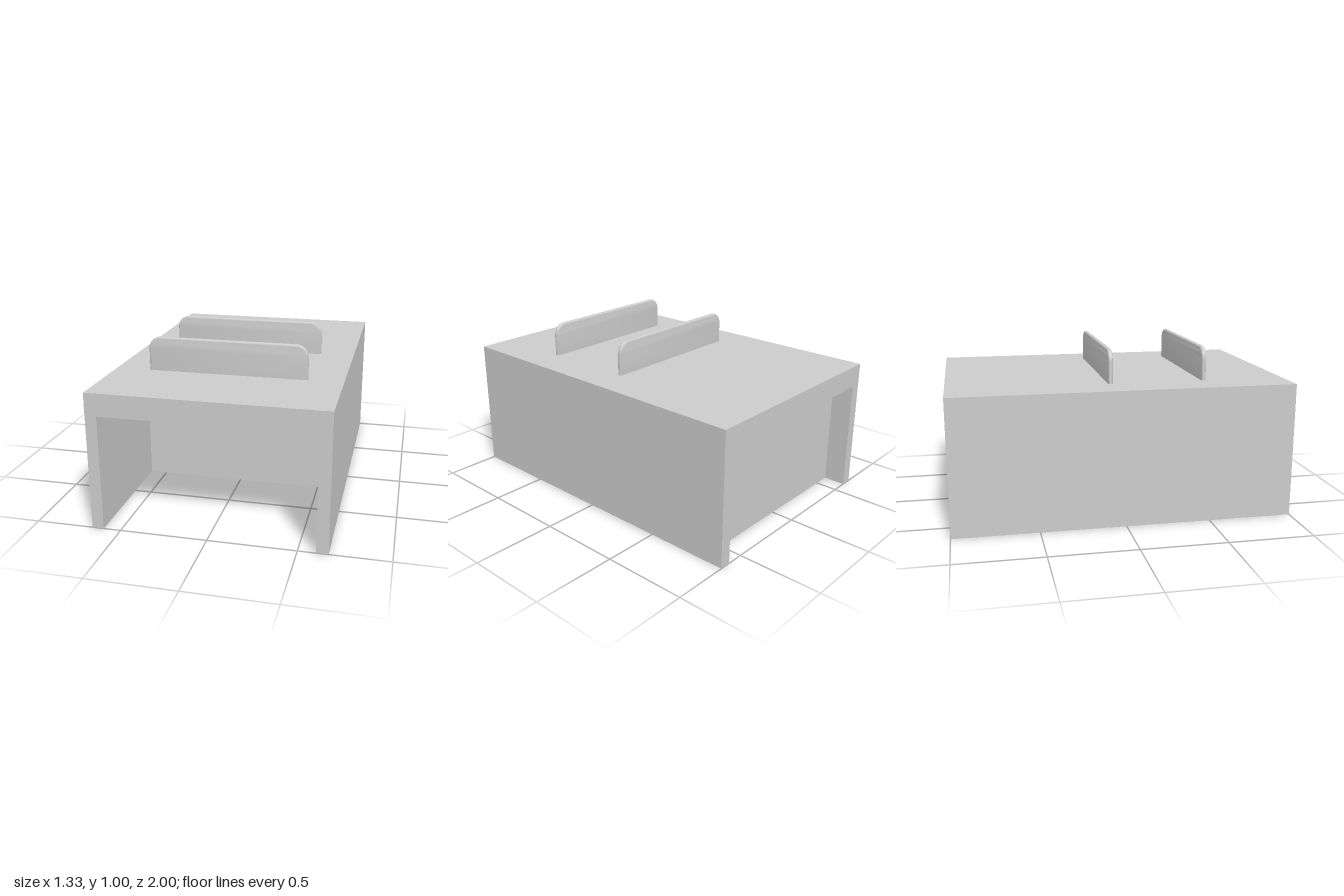
import * as THREE from 'three';
import { toCreasedNormals } from 'three/addons/utils/BufferGeometryUtils.js';

const W = 0.667, H = 0.8, INNER = 0.6, CEILING = 0.67;
const BLOCK_BACK = -0.867, BLOCK_FRONT = 0.2, SLOT_DEPTH = 0.13;

export function createModel() {
  const model = new THREE.Group();
  const material = new THREE.MeshStandardMaterial({ color: 0xcccccc });
  const add = (name, geometry, x = 0, y = 0, z = 0) => {
    const mesh = new THREE.Mesh(geometry, material);
    mesh.name = name;
    mesh.position.set(x, y, z);
    model.add(mesh);
  };

  // Housing: roof and two side walls as one arch-shaped section
  const section = new THREE.Shape([
    [-W, 0], [-INNER, 0], [-INNER, CEILING], [INNER, CEILING],
    [INNER, 0], [W, 0], [W, H], [-W, H],
  ].map(([x, y]) => new THREE.Vector2(x, y)));
  add('housing', new THREE.ExtrudeGeometry(section, { depth: 2, bevelEnabled: false }), 0, 0, -1);

  // Inner block, set back from both ends
  const length = BLOCK_FRONT - BLOCK_BACK;
  const middle = (BLOCK_FRONT + BLOCK_BACK) / 2;
  const blockHeight = CEILING - SLOT_DEPTH;
  add('innerBlock', new THREE.BoxGeometry(2 * INNER, blockHeight, length),
    0, SLOT_DEPTH + blockHeight / 2, middle);

  // Underside layer with a row of round-ended slots
  const base = new THREE.Shape([
    [-INNER, -BLOCK_FRONT], [INNER, -BLOCK_FRONT], [INNER, -BLOCK_BACK], [-INNER, -BLOCK_BACK],
  ].map(([x, y]) => new THREE.Vector2(x, y)));
  const r = 0.02, reach = 0.565;
  for (let i = 0; i < 8; i++) {
    const y = -0.13 + i * 0.121;
    const slot = new THREE.Path();
    slot.absarc(reach, y, r, -Math.PI / 2, Math.PI / 2, false);
    slot.absarc(-reach, y, r, Math.PI / 2, Math.PI * 1.5, false);
    slot.closePath();
    base.holes.push(slot);
  }
  const baseGeometry = new THREE.ExtrudeGeometry(base, {
    depth: SLOT_DEPTH, bevelEnabled: false, curveSegments: 8,
  });
  baseGeometry.rotateX(-Math.PI / 2);
  add('slottedBase', toCreasedNormals(baseGeometry, 0.6));

  // Roof fins: thin plates with rounded corners and edges
  const bevel = 0.012, fx = 0.465 - bevel, top = 1 - bevel, corner = 0.06;
  const fin = new THREE.Shape();
  fin.moveTo(-fx, H - 0.05);
  fin.lineTo(fx, H - 0.05);
  fin.lineTo(fx, top - corner);
  fin.absarc(fx - corner, top - corner, corner, 0, Math.PI / 2, false);
  fin.lineTo(-fx + corner, top);
  fin.absarc(-fx + corner, top - corner, corner, Math.PI / 2, Math.PI, false);
  fin.closePath();
  const core = 0.003;
  const finGeometry = toCreasedNormals(new THREE.ExtrudeGeometry(fin, {
    depth: core, bevelSize: bevel, bevelThickness: bevel, bevelSegments: 4, curveSegments: 12,
  }).translate(0, 0, -core / 2), 0.7);
  add('frontFin', finGeometry, 0, 0, 0.505);
  add('rearFin', finGeometry, 0, 0, -0.055);

  return model;
}
